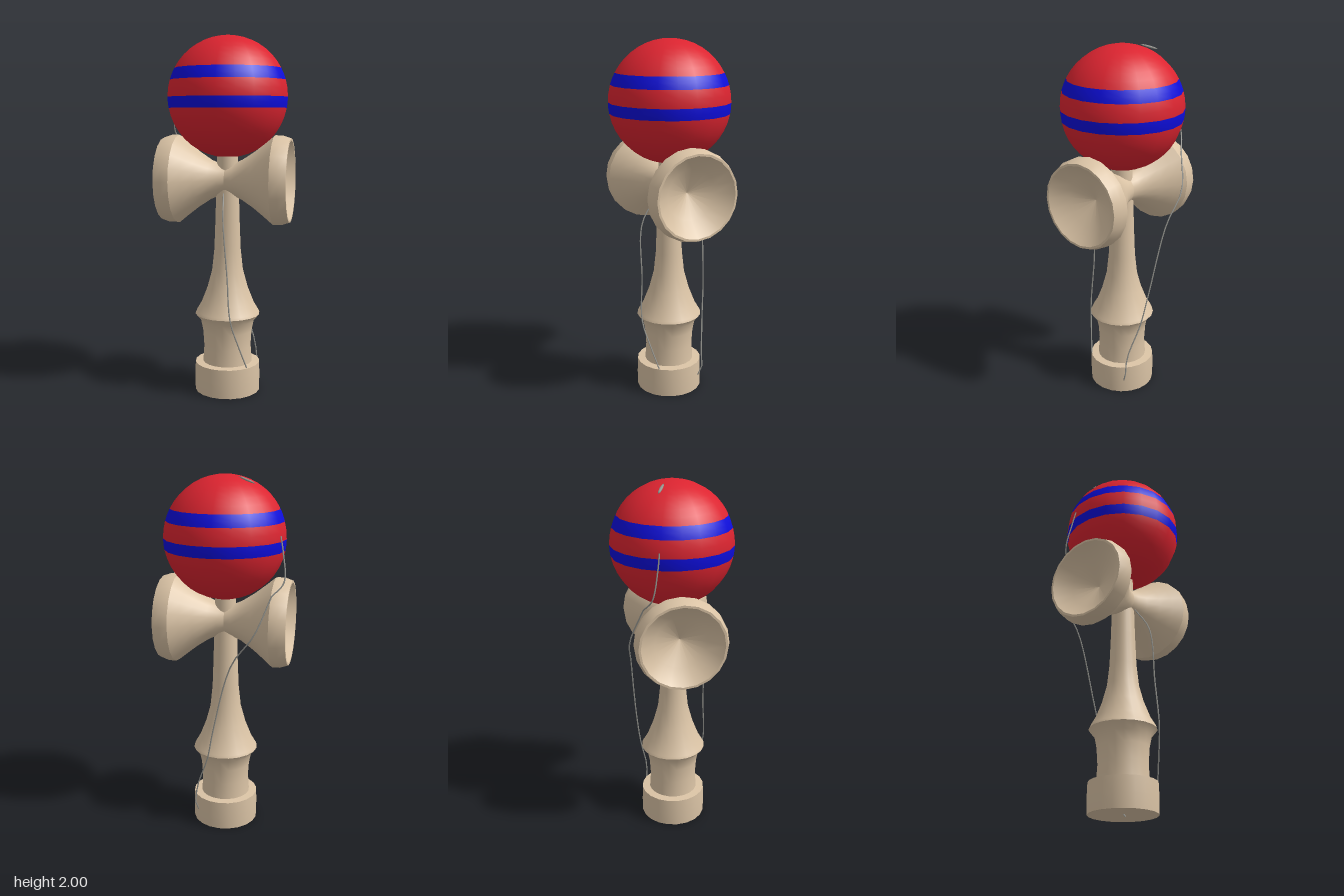
import * as THREE from 'three';

const wood = new THREE.MeshStandardMaterial({ color: 0xdac3a5, side: THREE.DoubleSide });
wood.name = 'pale wood';
const red = new THREE.MeshStandardMaterial({ color: 0xdc2430, side: THREE.DoubleSide });
red.name = 'red paint';
const blue = new THREE.MeshStandardMaterial({ color: 0x0d0ddc, side: THREE.DoubleSide });
blue.name = 'blue paint';
const grey = new THREE.MeshStandardMaterial({ color: 0x969690 });
grey.name = 'grey string';

// Turned wooden part: each profile section is smooth, with sharp edges between sections
function turned(name, sections, sides) {
  const group = new THREE.Group();
  group.name = name;
  for (const [part, points] of Object.entries(sections)) {
    const profile = points.map(([r, y]) => new THREE.Vector2(r, y));
    const mesh = new THREE.Mesh(new THREE.LatheGeometry(profile, sides), wood);
    mesh.name = part;
    group.add(mesh);
  }
  return group;
}

// Ball cut into horizontal paint bands, with a drilled hole underneath
function createBall() {
  const R = 0.332, hole = 0.07;
  const ball = new THREE.Group();
  ball.name = 'ball';
  ball.position.set(0.006, 1.668, 0);
  const angle = y => Math.acos((y - 1.668) / R);
  const holeAngle = Math.PI - Math.asin(hole / R);
  const bands = [
    ['ballCap', 0, angle(1.823), red],
    ['upperStripe', angle(1.823), angle(1.76), blue],
    ['ballMiddle', angle(1.76), angle(1.668), red],
    ['lowerStripe', angle(1.668), angle(1.608), blue],
    ['ballBottom', angle(1.608), holeAngle, red],
  ];
  for (const [name, from, to, material] of bands) {
    const rows = Math.max(2, Math.round((to - from) / 0.14));
    const mesh = new THREE.Mesh(
      new THREE.SphereGeometry(R, 20, rows, 0, Math.PI * 2, from, to - from), material);
    mesh.name = name;
    ball.add(mesh);
  }
  const y = R * Math.cos(holeAngle);
  const wall = new THREE.Mesh(new THREE.LatheGeometry([
    new THREE.Vector2(0, y + 0.3), new THREE.Vector2(hole, y + 0.28), new THREE.Vector2(hole, y),
  ], 20), red);
  wall.name = 'ballHole';
  ball.add(wall);
  return ball;
}

// Thin cord through a few points
function string(name, points, radius = 0.004) {
  const curve = new THREE.CatmullRomCurve3(points.map(p => new THREE.Vector3(...p)));
  const mesh = new THREE.Mesh(new THREE.TubeGeometry(curve, 24, radius, 5), grey);
  mesh.name = name;
  return mesh;
}

export function createModel() {
  const model = new THREE.Group();
  model.name = 'cupAndBallToy';
  model.add(createBall());

  // Handle with a hollow base cup, a flared collar and a spike inside the ball
  const handle = turned('handle', {
    baseCup: [[0, 0.08], [0.176, 0]],
    baseBand: [[0.185, 0], [0.187, 0.08], [0.184, 0.165]],
    baseLedge: [[0.184, 0.165], [0.14, 0.168]],
    grip: [[0.14, 0.168], [0.134, 0.26], [0.14, 0.35], [0.152, 0.41], [0.184, 0.448]],
    collar: [[0.184, 0.448], [0.178, 0.462], [0.15, 0.51], [0.115, 0.6], [0.088, 0.7],
      [0.075, 0.82], [0.068, 1.0], [0.064, 1.16]],
    spike: [[0.062, 1.16], [0.058, 1.34], [0.042, 1.5], [0, 1.56]],
    baseRim: [[0.176, 0], [0.185, 0]],
  }, 20);
  handle.position.set(0.005, 0, 0.005);
  model.add(handle);

  // Crosspiece: two mirrored flared cups that meet at a narrow waist
  const crosspiece = new THREE.Group();
  crosspiece.name = 'crosspiece';
  crosspiece.position.set(0, 1.212, 0.005);
  for (const side of [1, -1]) {
    const cup = turned(side > 0 ? 'leftCup' : 'rightCup', {
      flare: [[0.082, 0], [0.09, 0.04], [0.112, 0.09], [0.158, 0.16], [0.205, 0.22], [0.248, 0.272]],
      lip: [[0.248, 0.272], [0.247, 0.315], [0.232, 0.36]],
      rim: [[0.232, 0.36], [0.22, 0.36]],
      bowl: [[0.22, 0.36], [0.14, 0.285], [0, 0.225]],
    }, 20);
    cup.rotation.z = -side * Math.PI / 2;
    crosspiece.add(cup);
  }
  model.add(crosspiece);

  // Loose string running down the front, down the back and up to the ball
  model.add(string('frontString', [
    [0, 1.14, 0.09], [0.015, 1.0, 0.175], [0.04, 0.7, 0.188], [0.06, 0.45, 0.198],
    [0.1, 0.3, 0.165], [0.14, 0.17, 0.13]]));
  model.add(string('backString', [
    [-0.28, 1.4, -0.19], [-0.2, 1.2, -0.255], [-0.08, 1.03, -0.24], [0.03, 0.63, -0.205],
    [0.07, 0.44, -0.18], [0.14, 0.24, -0.14], [0.15, 0.1, -0.13], [0.08, 0.006, -0.03]]));
  model.add(string('ballString', [
    [-0.31, 1.7, -0.11], [-0.325, 1.62, -0.12], [-0.338, 1.47, -0.15], [-0.28, 1.4, -0.19]]));

  // Frayed string end lying on top of the ball
  const fray = new THREE.Mesh(new THREE.SphereGeometry(1, 8, 4), grey);
  fray.name = 'stringEnd';
  fray.scale.set(0.055, 0.006, 0.009);
  fray.position.set(-0.125, 1.975, -0.075);
  fray.rotation.set(0, -0.4, 0.3);
  model.add(fray);
  return model;
}
